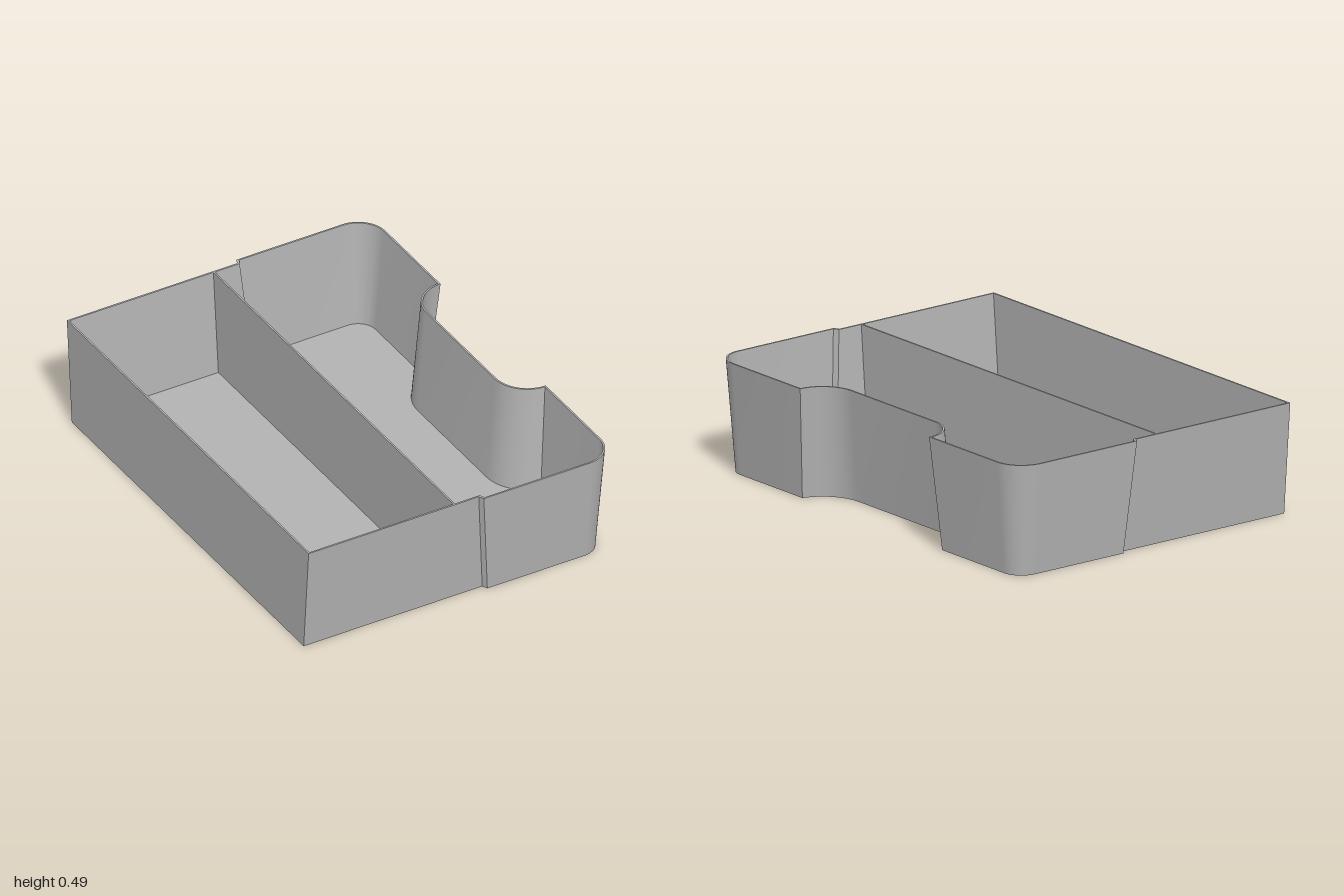
import * as THREE from 'three';
import { toCreasedNormals } from 'three/addons/utils/BufferGeometryUtils.js';

const HEIGHT = 0.485, DRAFT = 0.04, WALL = 0.008, FLOOR = 0.01;
const HALF_X = 0.727, SIDE = 0.977, ARC = 12;

// Closed counter-clockwise outline, inset by d; the back edge is inset separately
function outline(d, backInset) {
  const half = [];
  const arc = (cx, cy, r, from, to) => {
    for (let i = 0; i <= ARC; i++) {
      const a = from + (to - from) * i / ARC;
      half.push(new THREE.Vector2(cx + r * Math.cos(a), cy + r * Math.sin(a)));
    }
  };
  // notch fillet, then rounded front corner
  const notchR = 0.148 + d;
  arc(HALF_X, 0.277, notchR, Math.PI, Math.acos(-d / notchR));
  arc(0.597, 0.87, 0.13 - d, 0, Math.PI / 2);
  // small step in the side wall, then the square back corner
  half.push(new THREE.Vector2(0.094 + d, 1 - d));
  half.push(new THREE.Vector2(0.083 + d, SIDE - d));
  half.push(new THREE.Vector2(-HALF_X + backInset, SIDE - d));
  const mirrored = half.map(p => new THREE.Vector2(p.x, -p.y)).reverse();
  return half.concat(mirrored);
}

// Quads between successive loops of { points, y }
function loft(loops) {
  const pos = [];
  const put = (loop, i) => {
    const p = loop.points[i % loop.points.length];
    pos.push(p.x, loop.y, -p.y);
  };
  for (let k = 0; k < loops.length - 1; k++) {
    const lo = loops[k], hi = loops[k + 1];
    for (let i = 0; i < lo.points.length; i++) {
      put(lo, i); put(lo, i + 1); put(hi, i + 1);
      put(lo, i); put(hi, i + 1); put(hi, i);
    }
  }
  const g = new THREE.BufferGeometry();
  g.setAttribute('position', new THREE.Float32BufferAttribute(pos, 3));
  g.computeVertexNormals();
  return toCreasedNormals(g, 0.4);
}

export function createModel() {
  const group = new THREE.Group();
  group.name = 'dividedTray';
  const grey = new THREE.MeshStandardMaterial({ color: 0xb2b2b2 });
  grey.name = 'grey plastic';
  const add = (name, geometry) => {
    const mesh = new THREE.Mesh(geometry, grey);
    mesh.name = name;
    group.add(mesh);
    return mesh;
  };

  // Tapered shell: outside, rim and inside
  const base = outline(DRAFT, 0);
  const inside = outline(DRAFT + WALL, WALL);
  add('walls', loft([
    { points: base, y: 0 },
    { points: outline(0, 0), y: HEIGHT },
    { points: outline(WALL, WALL), y: HEIGHT },
    { points: inside, y: FLOOR },
  ]));

  // Underside and inner floor
  add('underside', new THREE.ShapeGeometry(new THREE.Shape(base)).rotateX(Math.PI / 2));
  add('floor', new THREE.ShapeGeometry(new THREE.Shape(inside)).rotateX(-Math.PI / 2))
    .position.y = FLOOR;

  // Cross divider, tapered to meet the side walls
  const top = SIDE - WALL, bottom = top - DRAFT;
  const panel = new THREE.Shape([
    new THREE.Vector2(-bottom, FLOOR), new THREE.Vector2(bottom, FLOOR),
    new THREE.Vector2(top, HEIGHT), new THREE.Vector2(-top, HEIGHT),
  ]);
  add('divider', new THREE.ExtrudeGeometry(panel, { depth: WALL, bevelEnabled: false })
    .rotateY(Math.PI / 2)).position.x = -0.03 - WALL / 2;

  return group;
}
